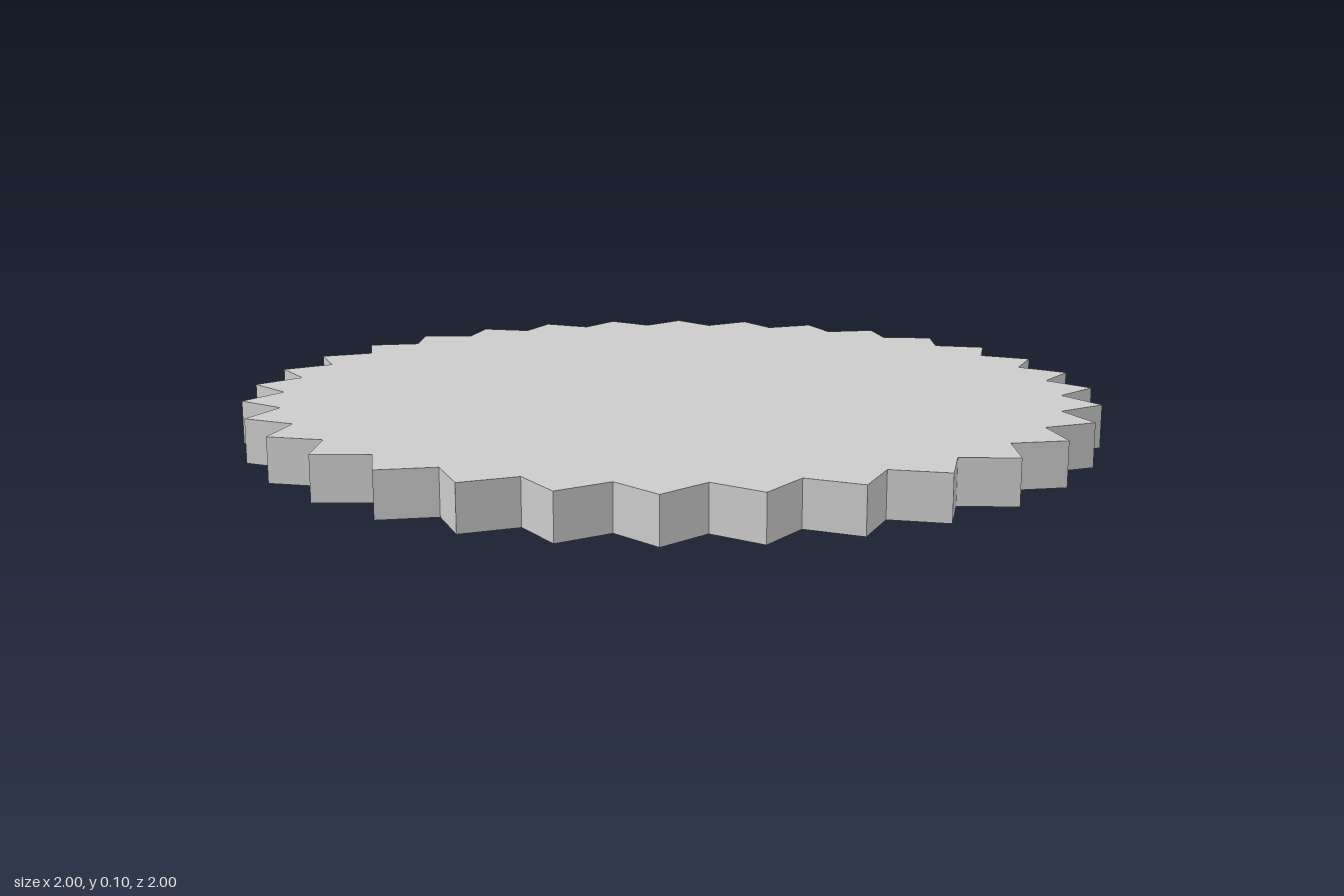
import * as THREE from 'three';

export function createModel() {
  const group = new THREE.Group();
  const teeth = 32;
  const tipRadius = 1;
  const height = 0.1;
  // Right-angled teeth: the valleys are where neighbouring turned squares cross
  const valleyRadius = Math.SQRT1_2 / Math.cos(Math.PI / 4 - Math.PI / teeth);

  // Star-shaped outline, alternating tips and valleys
  const points = [];
  for (let i = 0; i < teeth * 2; i++) {
    const angle = (i * Math.PI) / teeth;
    const r = i % 2 ? valleyRadius : tipRadius;
    points.push(new THREE.Vector2(r * Math.cos(angle), r * Math.sin(angle)));
  }

  // Flat disc, laid down so that it rests on the ground
  const geometry = new THREE.ExtrudeGeometry(new THREE.Shape(points), {
    depth: height,
    bevelEnabled: false,
  });
  geometry.rotateX(-Math.PI / 2);

  const disc = new THREE.Mesh(
    geometry,
    new THREE.MeshStandardMaterial({ color: 0xcccccc, flatShading: true })
  );
  disc.name = 'toothedDisc';
  group.add(disc);
  return group;
}
